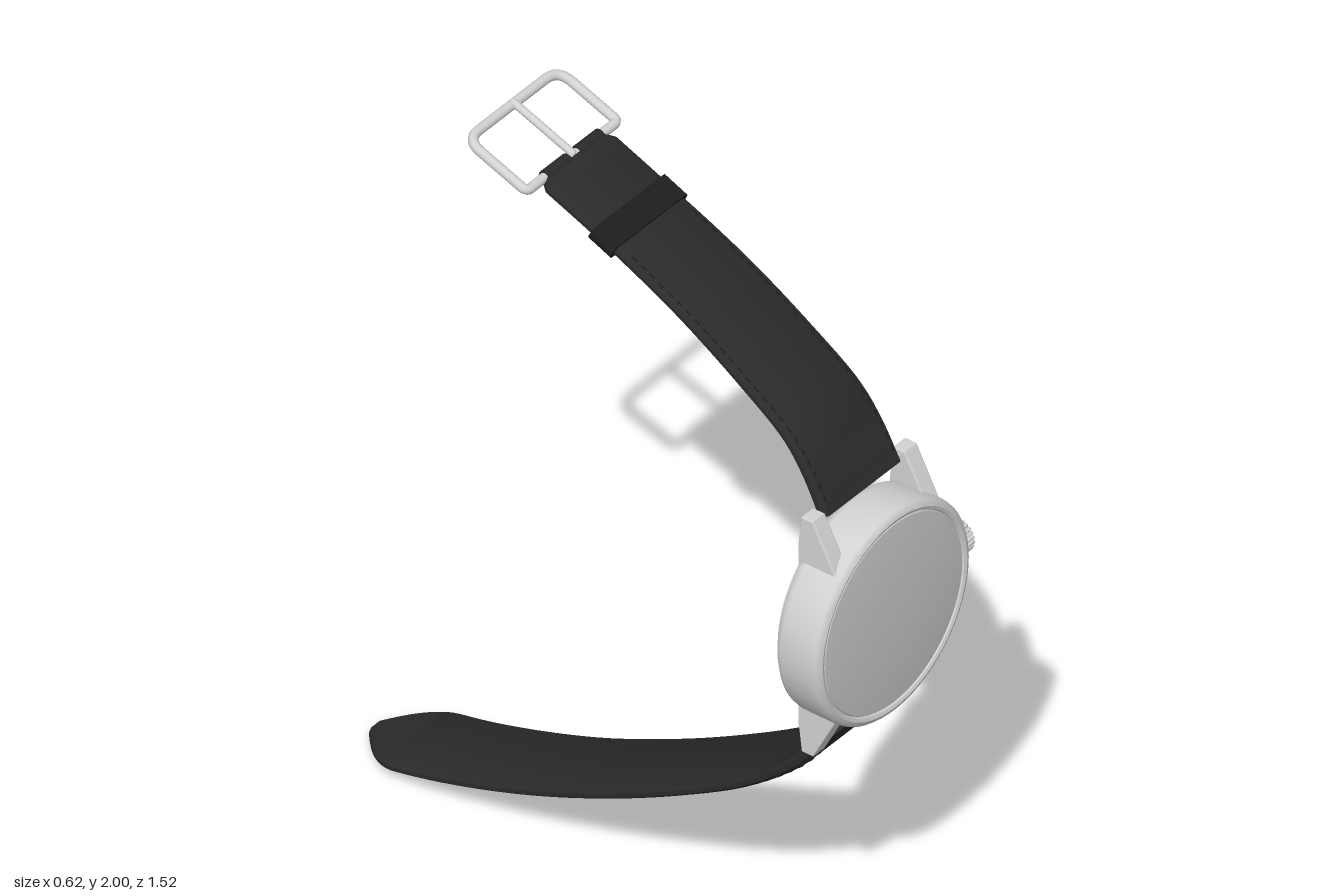
import * as THREE from 'three';
import { toCreasedNormals } from 'three/addons/utils/BufferGeometryUtils.js';

const CX = -0.026, CY = 1.047; // centre of the watch case

function material(name, color) {
  const m = new THREE.MeshStandardMaterial({ color });
  m.name = name;
  return m;
}

function add(parent, name, geometry, mat) {
  const mesh = new THREE.Mesh(geometry, mat);
  mesh.name = name;
  parent.add(mesh);
  return mesh;
}

// Turned part: profile of [radius, z] from back to front, axis along z
function turned(profile) {
  const g = new THREE.LatheGeometry(profile.map(([r, z]) => new THREE.Vector2(r, z)), 72);
  g.rotateX(Math.PI / 2);
  return toCreasedNormals(g, 0.6);
}

const pathOf = (points) =>
  new THREE.CatmullRomCurve3(points.map(([z, y]) => new THREE.Vector3(0, y, z)));

// Point on a strap, its direction and the perpendicular in the side plane
function frameAt(curve, u) {
  const p = curve.getPointAt(u), t = curve.getTangentAt(u);
  return { p, t, n: new THREE.Vector3(0, -t.z, t.y) };
}

// Strap swept along a path with a round-edged section of changing half width
function strap(curve, halfWidth, halfThick, stations) {
  const pos = [], index = [], S = 8;
  stations.forEach((u) => {
    const { p, n } = frameAt(curve, u);
    const w = halfWidth(u), h = halfThick(u), e = w - Math.min(0.01, w * 0.4);
    const section = [[w, -0.4 * h], [w, 0.4 * h], [e, h], [-e, h],
      [-w, 0.4 * h], [-w, -0.4 * h], [-e, -h], [e, -h]];
    section.forEach(([x, d]) => pos.push(CX + x, p.y + n.y * d, p.z + n.z * d));
  });
  const last = (stations.length - 1) * S;
  for (let i = 0; i < last; i += S) {
    for (let j = 0; j < S; j++) {
      const k = (j + 1) % S;
      index.push(i + j, i + S + j, i + k, i + k, i + S + j, i + S + k);
    }
  }
  for (let j = 1; j < S - 1; j++) index.push(0, j, j + 1, last, last + j + 1, last + j);
  const g = new THREE.BufferGeometry();
  g.setAttribute('position', new THREE.Float32BufferAttribute(pos, 3));
  g.setIndex(index);
  return toCreasedNormals(g, 0.7);
}

export function createModel() {
  const metal = material('brushed steel', 0xd2d2d2);
  const glass = material('pale glass', 0xc8c8c8);
  const leather = material('black leather', 0x2a2a2a);
  const trim = material('dark trim', 0x1d1d1f);
  const engraving = material('engraving grey', 0x5a5a5a);
  const model = new THREE.Group();
  model.name = 'wristwatch';

  // Case, crystal and back
  const watch = new THREE.Group();
  watch.name = 'watchHead';
  watch.position.set(CX, CY, 0);
  model.add(watch);
  add(watch, 'case', turned([[0, 0.61], [0.188, 0.61], [0.192, 0.604], [0.242, 0.604], [0.25, 0.608],
    [0.252, 0.622], [0.272, 0.624], [0.282, 0.634], [0.285, 0.645], [0.285, 0.732], [0.283, 0.742],
    [0.276, 0.75], [0.267, 0.753], [0.259, 0.75], [0.255, 0.744]].map(([r, z]) => [r, z])), metal);
  add(watch, 'crystal', turned([[0.257, 0.744], [0.253, 0.749], [0.2, 0.754], [0.1, 0.758], [0, 0.759]]), glass);
  add(watch, 'backPlate', turned([[0, 0.607], [0.182, 0.607], [0.186, 0.612]]), metal);

  // Short engraved marks around the back
  for (let i = 0; i < 40; i++) {
    const a = (i / 40) * Math.PI * 2;
    const mark = add(watch, 'backMark',
      new THREE.BoxGeometry(0.008 + 0.008 * Math.abs(Math.sin(i * 2.3)), 0.007, 0.003), engraving);
    const r = 0.217 + 0.005 * Math.sin(i * 4.1);
    mark.position.set(r * Math.cos(a), r * Math.sin(a), 0.604);
    mark.rotation.z = a + Math.PI / 2;
  }

  // Four lugs with spring bars between them
  const lugShape = new THREE.Shape([[0.718, 0.15], [0.729, 0.205], [0.70, 0.262], [0.663, 0.333],
    [0.634, 0.333], [0.624, 0.25], [0.624, 0.15]].map(([z, y]) => new THREE.Vector2(z, y)));
  const lugGeo = new THREE.ExtrudeGeometry(lugShape,
    { depth: 0.038, bevelSize: 0.003, bevelThickness: 0.004, bevelSegments: 2 });
  lugGeo.translate(0, 0, -0.019).rotateY(-Math.PI / 2);
  const barGeo = new THREE.CylinderGeometry(0.008, 0.008, 0.3, 12).rotateZ(Math.PI / 2);
  for (const end of [1, -1]) {
    for (const side of [1, -1]) {
      const lug = add(watch, 'lug', lugGeo, metal);
      lug.position.x = side * 0.17;
      if (end < 0) lug.rotation.z = Math.PI;
    }
    add(watch, 'springBar', barGeo, metal).position.set(0, end * 0.318, 0.645);
  }

  // Fluted crown on a short stem
  const flutes = [];
  for (let i = 0; i < 96; i++) {
    const a = (i / 96) * Math.PI * 2, r = i % 4 < 2 ? 0.044 : 0.039;
    flutes.push(new THREE.Vector2(r * Math.cos(a), r * Math.sin(a)));
  }
  const crownGeo = new THREE.ExtrudeGeometry(new THREE.Shape(flutes),
    { depth: 0.03, bevelSize: 0.003, bevelThickness: 0.005, bevelSegments: 2 });
  add(watch, 'crown', crownGeo.rotateY(Math.PI / 2), metal).position.set(0.298, 0, 0.678);
  const stem = new THREE.CylinderGeometry(0.026, 0.026, 0.04, 24).rotateZ(Math.PI / 2);
  add(watch, 'crownStem', stem, metal).position.set(0.284, 0, 0.678);

  // Upper and lower straps
  const upper = pathOf([[0.65, 1.358], [0.60, 1.452], [0.54, 1.53], [0.405, 1.627],
    [0.22, 1.738], [0.008, 1.838], [-0.19, 1.921]]);
  const lower = pathOf([[0.65, 0.736], [0.62, 0.68], [0.565, 0.612], [0.42, 0.488], [0.22, 0.366],
    [0.003, 0.254], [-0.23, 0.154], [-0.496, 0.069], [-0.757, 0.014]]);
  const thickness = (u) => 0.0125 + 0.005 * Math.max(0, 1 - u * 5);
  const upperWidth = (u) => 0.141 - 0.013 * Math.min(1, u * 1.3) - 0.022 * Math.max(0, (u - 0.97) / 0.03);
  const tip = 0.905;
  const lowerWidth = (u) => {
    const k = Math.max(0, (u - tip) / (1 - tip));
    return (0.141 - 0.013 * Math.min(1, u * 1.6)) * (1 - 0.8 * Math.pow(k, 1.9));
  };
  const steps = (n, from, to) => Array.from({ length: n + 1 }, (_, i) => from + ((to - from) * i) / n);
  add(model, 'upperStrap', strap(upper, upperWidth, thickness, [...steps(40, 0, 0.97), 1]), leather);
  add(model, 'lowerStrap', strap(lower, lowerWidth, thickness,
    [...steps(48, 0, tip), ...steps(12, tip, 1).slice(1)]), leather);

  // Stitches along the strap edges, on the outer face
  const stitchGeo = new THREE.BoxGeometry(0.004, 0.003, 0.016);
  function stitches(curve, width, outward, count, to) {
    for (const u of steps(count, 0.04, to)) {
      const { p, t, n } = frameAt(curve, u);
      for (const side of [1, -1]) {
        const s = add(model, 'stitch', stitchGeo, trim);
        s.position.copy(p).addScaledVector(n, outward * thickness(u));
        s.position.x = CX + side * (width(u) - 0.016);
        s.rotation.x = Math.atan2(-t.y, t.z);
      }
    }
  }
  stitches(upper, upperWidth, 1, 24, 0.72);
  stitches(lower, lowerWidth, -1, 32, 0.88);

  // Keeper loop around the upper strap
  const keeperPath = new THREE.LineCurve3(new THREE.Vector3(0, 1.825, 0.036), new THREE.Vector3(0, 1.853, -0.028));
  add(model, 'keeperLoop', strap(keeperPath, () => 0.139, () => 0.021, [0, 1]), trim);

  // Buckle: rounded wire frame, lying along the strap's end
  const buckle = new THREE.Group();
  buckle.name = 'buckle';
  buckle.position.set(CX, 1.921, -0.187);
  buckle.rotation.x = Math.atan2(-0.175, 0.067);
  model.add(buckle);
  const W = 0.169, H = 0.187;
  const corners = [[-W, 0, 0.014], [W, 0, 0.014], [W, H, 0.045], [-W, H, 0.045]];
  const wire = new THREE.CurvePath();
  corners.forEach(([x, y, r], i) => {
    const [nx, ny, nr] = corners[(i + 1) % 4], [px, py] = corners[(i + 3) % 4];
    const c = new THREE.Vector3(x, y, 0);
    const toward = (qx, qy, d) => c.clone().add(new THREE.Vector3(qx - x, qy - y, 0).setLength(d));
    const exit = toward(nx, ny, r);
    const length = Math.hypot(nx - x, ny - y);
    wire.add(new THREE.QuadraticBezierCurve3(toward(px, py, r), c, exit));
    wire.add(new THREE.LineCurve3(exit, toward(nx, ny, length - nr)));
  });
  add(buckle, 'buckleFrame', new THREE.TubeGeometry(wire, 160, 0.0125, 12, true), metal);
  const tongue = new THREE.CapsuleGeometry(0.01, H - 0.005, 6, 12);
  add(buckle, 'buckleTongue', tongue, metal).position.set(0, H / 2 + 0.002, 0.009);

  // Leather fold around the buckle bar, split for the tongue
  const foldGeo = new THREE.CylinderGeometry(0.017, 0.017, 0.085, 16).rotateZ(Math.PI / 2);
  for (const side of [1, -1]) add(buckle, 'strapFold', foldGeo, leather).position.x = side * 0.06;

  return model;
}
